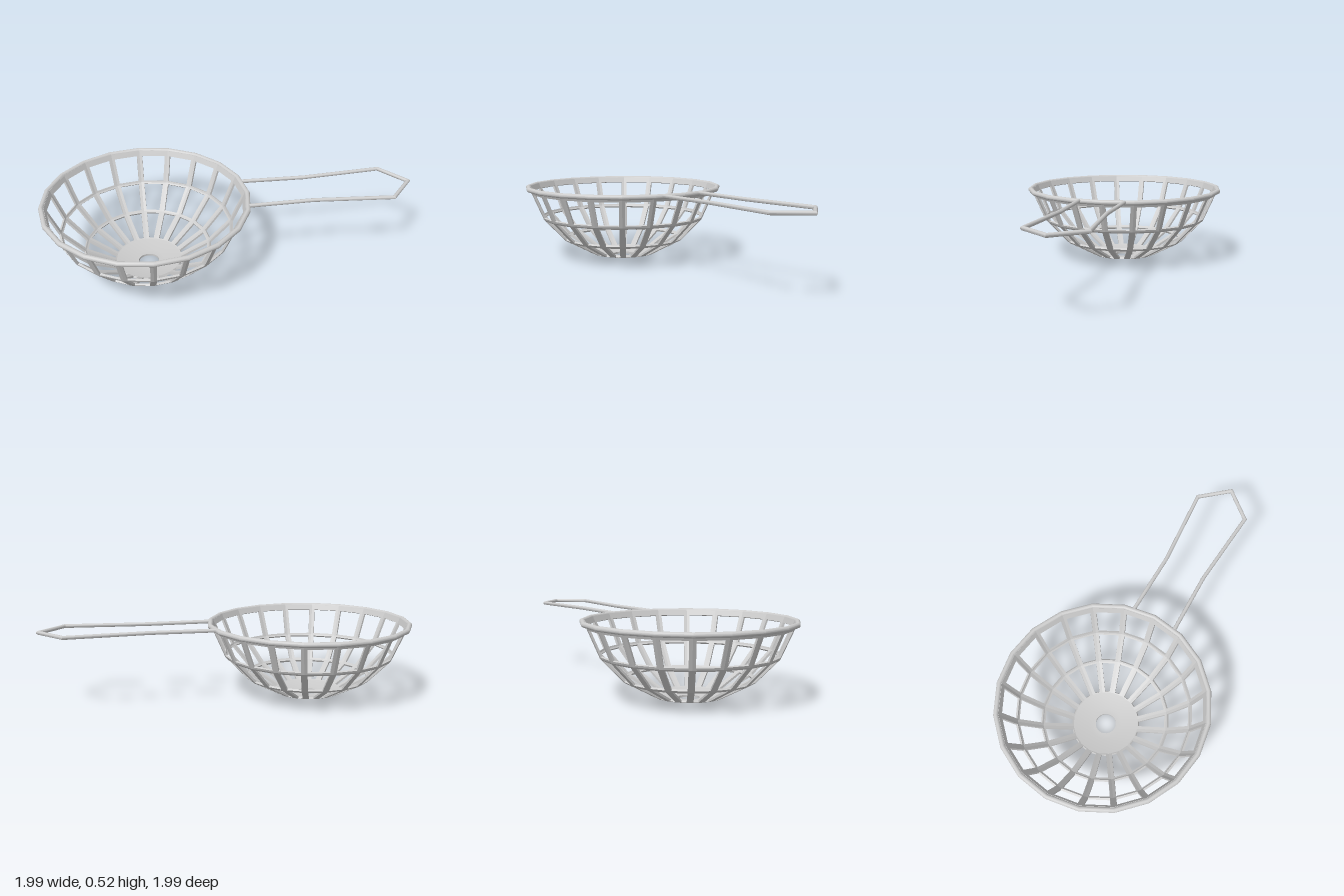
import * as THREE from 'three';
import { toCreasedNormals, mergeGeometries } from 'three/addons/utils/BufferGeometryUtils.js';

const SIDES = 20;
const STEP = (Math.PI * 2) / SIDES;
const CENTER = [-0.31, 0.305];
const THICK = 0.014;

const material = new THREE.MeshStandardMaterial({ color: 0xcccccc });

function part(name, geometry) {
  const mesh = new THREE.Mesh(geometry, material);
  mesh.name = name;
  return mesh;
}

// One flat trapezoid frame: sides form half-struts, ends form half-rings.
function panel([a0, y0], [a1, y1], endLow, endHigh) {
  const length = Math.hypot(a1 - a0, y1 - y0);
  const half = (v) => (a0 + ((a1 - a0) * v) / length) * Math.tan(STEP / 2);
  const outline = (v0, v1, inset) => [
    new THREE.Vector2(-half(v0) + inset, v0),
    new THREE.Vector2(half(v0) - inset, v0),
    new THREE.Vector2(half(v1) - inset, v1),
    new THREE.Vector2(-half(v1) + inset, v1),
  ];
  const shape = new THREE.Shape(outline(0, length, 0));
  shape.holes.push(new THREE.Path(outline(endLow, length - endHigh, 0.021).reverse()));
  return new THREE.ExtrudeGeometry(shape, { depth: THICK, bevelEnabled: false })
    .translate(0, 0, -THICK)
    .rotateX(Math.atan2(a1 - a0, y1 - y0))
    .translate(0, y0, a0);
}

// Round wire along a level path, mitred at every bend.
function mitredWire(path, y, radius, sides) {
  const pts = path.map(([x, z]) => new THREE.Vector2(x, z));
  const position = [], index = [];
  pts.forEach((p, i) => {
    const before = p.clone().sub(pts[Math.max(i - 1, 0)]).normalize();
    const after = pts[Math.min(i + 1, pts.length - 1)].clone().sub(p).normalize();
    const dir = before.clone().add(after).normalize();
    const stretch = 1 / dir.dot(i ? before : after);
    for (let j = 0; j < sides; j++) {
      const t = (j / sides) * Math.PI * 2;
      const s = Math.cos(t) * radius * stretch;
      position.push(p.x - dir.y * s, y + Math.sin(t) * radius, p.y + dir.x * s);
      if (i === pts.length - 1) continue;
      const a = i * sides + j, b = i * sides + ((j + 1) % sides);
      index.push(a, a + sides, b, b, a + sides, b + sides);
    }
  });
  const geometry = new THREE.BufferGeometry();
  geometry.setAttribute('position', new THREE.Float32BufferAttribute(position, 3));
  geometry.setIndex(index);
  return toCreasedNormals(geometry, 0.6);
}

export function createModel() {
  const group = new THREE.Group();
  group.name = 'wireBasketStrainer';

  const basket = new THREE.Group();
  basket.name = 'basket';
  basket.position.set(CENTER[0], 0, CENTER[1]);
  group.add(basket);

  // Lattice bowl: three bands of framed panels (flat radius, height)
  const rows = [[0.225, 0.025], [0.4225, 0.13], [0.575, 0.29], [0.668, 0.505]];
  const names = ['lowerLattice', 'middleLattice', 'upperLattice'];
  names.forEach((name, b) => {
    const pieces = [];
    for (let k = 0; k < SIDES; k++) {
      const frame = panel(rows[b], rows[b + 1], b ? 0.014 : 0.008, b === 2 ? 0.038 : 0.014);
      pieces.push(frame.rotateY(k * STEP));
    }
    basket.add(part(name, mergeGeometries(pieces)));
  });

  // Base plate with a drain hole
  const profile = [[0.07, 0], [0.11, 0], [0.228, 0.025], [0.228, 0.039], [0.11, 0.014], [0.07, 0.014], [0.07, 0]]
    .map(([r, y]) => new THREE.Vector2(r, y));
  const plate = new THREE.LatheGeometry(profile, SIDES).rotateY(STEP / 2);
  plate.deleteAttribute('normal');
  basket.add(part('basePlate', toCreasedNormals(plate, 0.5)));

  // Rim wire
  const rim = new THREE.TorusGeometry(0.681, 0.017, 24, SIDES)
    .rotateX(-Math.PI / 2).rotateY(STEP / 2).translate(0, 0.504, 0);
  basket.add(part('rim', toCreasedNormals(rim, 0.3)));

  // Handle loop, mirrored about its diagonal axis
  const side = [[0.055, -0.27], [0.367, -0.57], [0.72, -0.981]];
  const mirrored = side.map(([x, z]) => [-z, -x]).reverse();
  group.add(part('handle', mitredWire([...side, [0.962, -0.962], ...mirrored], 0.508, 0.013, 12)));

  return group;
}
